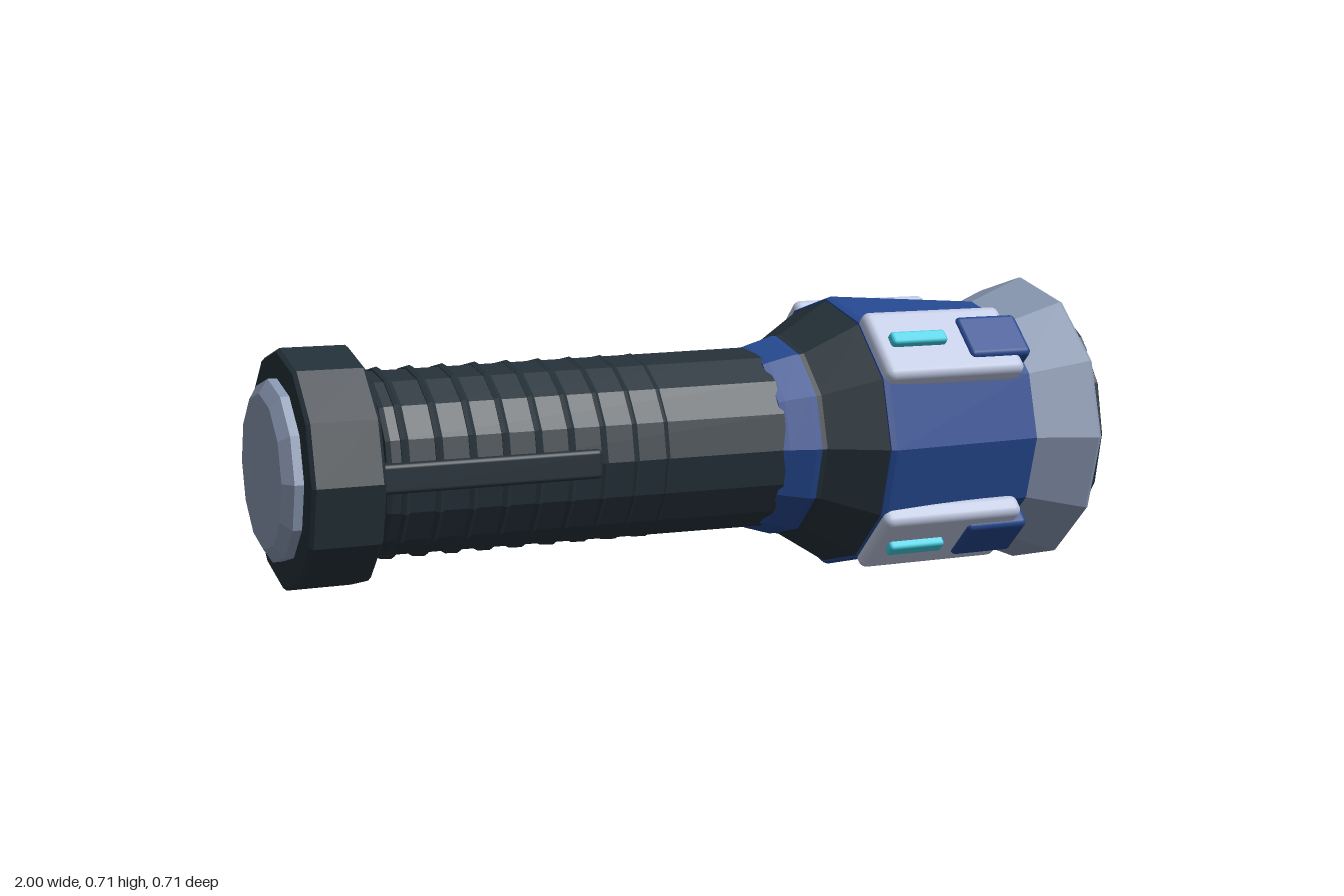
import * as THREE from 'three';
import { RoundedBoxGeometry } from 'three/addons/geometries/RoundedBoxGeometry.js';

const mat = (name, color) => {
  const m = new THREE.MeshStandardMaterial({ color });
  m.name = name;
  return m;
};

export function createModel() {
  const dark = mat('charcoal', 0x243038);
  const blue = mat('navy blue', 0x24478d);
  const grey = mat('steel grey', 0x8796b0);
  const light = mat('pale grey', 0xbcc5de);
  const cyan = mat('cyan glow', 0x42cde0);

  const model = new THREE.Group();
  model.name = 'flashlight';
  const body = new THREE.Group();
  body.name = 'body';
  body.position.y = 0.353;
  model.add(body);

  const add = (name, geo, material, parent = body) => {
    const mesh = new THREE.Mesh(geo, material);
    mesh.name = name;
    parent.add(mesh);
    return mesh;
  };
  const facet = (geo) => {
    const g = geo.index ? geo.toNonIndexed() : geo;
    g.computeVertexNormals();
    return g;
  };
  // Faceted turned part along x; profile is a list of [x, radius]
  const turned = (name, profile, sides, material) => {
    const pts = profile.map(([x, r]) => new THREE.Vector2(r, x));
    return add(name, facet(new THREE.LatheGeometry(pts, sides).rotateZ(-Math.PI / 2)), material);
  };
  const ring = (name, x, radius, tube, radial, around, material) => {
    const g = new THREE.TorusGeometry(radius, tube, radial, around).rotateY(Math.PI / 2);
    return add(name, facet(g), material).position.x = x;
  };

  // Tail end
  turned('tailButton', [[-1, 0], [-1, 0.17], [-0.98, 0.2], [-0.95, 0.2]], 12, grey);
  turned('tailCap', [[-0.96, 0], [-0.96, 0.257], [-0.952, 0.265], [-0.808, 0.265], [-0.8, 0.257], [-0.8, 0]], 12, dark);
  turned('tailCollar', [[-0.81, 0.17], [-0.77, 0.17]], 16, grey);

  // Grip with ribs and side rails
  turned('grip', [[-0.78, 0], [-0.78, 0.2], [-0.77, 0.205], [0.16, 0.214], [0.16, 0]], 16, dark);
  for (let i = 0; i < 9; i++) ring('gripRib', -0.74 + i * 0.0755, 0.204, 0.01, 6, 16, dark);
  for (const s of [-1, 1]) {
    add('sideRail', new RoundedBoxGeometry(0.51, 0.065, 0.04, 2, 0.01), dark).position.set(-0.55, 0, s * 0.197);
  }

  // Neck and main housing
  turned('neckBand', [[0.15, 0.2], [0.15, 0.214], [0.165, 0.219], [0.225, 0.237], [0.24, 0.237]], 12, blue);
  turned('shoulder', [[0.235, 0.2], [0.235, 0.236], [0.25, 0.24], [0.376, 0.318]], 12, dark);
  turned('housing', [[0.37, 0.25], [0.372, 0.32], [0.385, 0.325], [0.78, 0.298]], 12, blue);

  // Flared head
  turned('headFlare', [[0.77, 0.27], [0.77, 0.294], [0.918, 0.353], [0.925, 0.351], [0.927, 0.343], [0.927, 0]], 12, grey);
  turned('bezel', [[0.92, 0.3], [0.925, 0.318], [0.95, 0.318], [0.957, 0.31], [0.957, 0]], 16, dark);
  ring('lightRing', 0.968, 0.213, 0.032, 8, 32, cyan);
  turned('lens', [[0.95, 0.185], [0.962, 0.185], [0.962, 0.166], [0.958, 0.164], [0.958, 0.162], [0.964, 0.16], [0.964, 0]], 32, dark);

  // Four armour pads with inset details, and bezel studs
  for (let i = 0; i < 4; i++) {
    const side = new THREE.Group();
    side.name = 'padAssembly';
    side.rotation.x = Math.PI / 4 + i * Math.PI / 2;
    body.add(side);
    add('armourPad', new RoundedBoxGeometry(0.37, 0.055, 0.195, 3, 0.02), light, side).position.set(0.56, 0.311, 0);
    add('padClip', new RoundedBoxGeometry(0.165, 0.055, 0.12, 3, 0.014), blue, side).position.set(0.688, 0.321, 0);
    add('padLight', new RoundedBoxGeometry(0.145, 0.034, 0.034, 2, 0.008), cyan, side).position.set(0.482, 0.34, 0);
    add('bezelStud', new THREE.SphereGeometry(0.025, 16, 10), grey, side).position.set(0.965, 0.262, 0);
  }
  return model;
}
